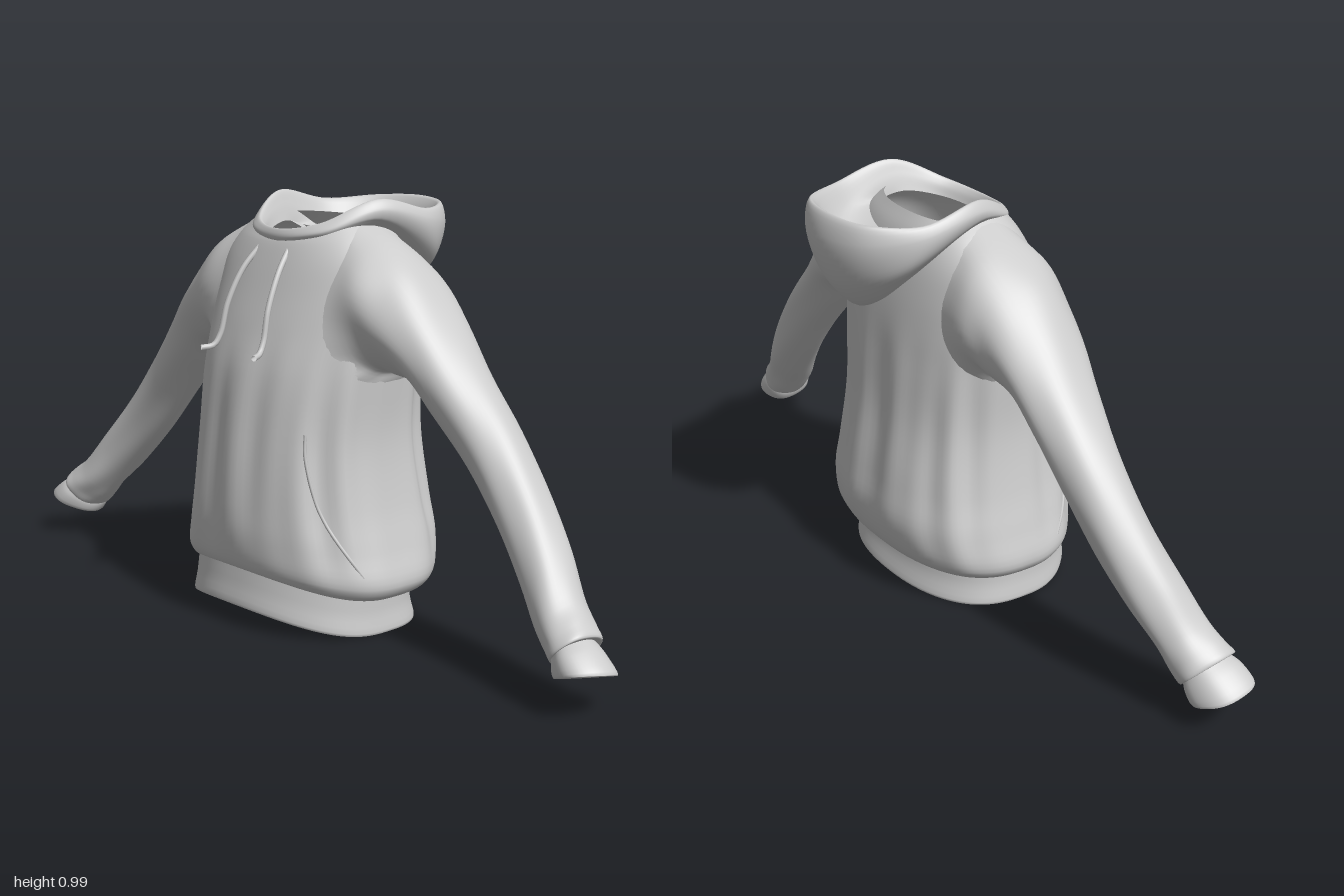
import * as THREE from 'three';

const V = (x, y, z) => new THREE.Vector3(x, y, z);
const material = new THREE.MeshStandardMaterial({ color: 0xcccccc, side: THREE.DoubleSide });

// Smooth skin over closed rings with equal point counts; each column is a spline
function loft(name, rings, steps) {
  const n = rings[0].length, rows = (rings.length - 1) * steps, pos = [], idx = [];
  const columns = rings[0].map((_, i) => new THREE.CatmullRomCurve3(rings.map(r => r[i])));
  for (let j = 0; j <= rows; j++)
    for (const c of columns) pos.push(...c.getPoint(j / rows).toArray());
  for (let j = 0; j < rows; j++)
    for (let i = 0; i < n; i++) {
      const a = j * n + i, b = j * n + (i + 1) % n;
      idx.push(a, b, b + n, a, b + n, a + n);
    }
  const g = new THREE.BufferGeometry();
  g.setAttribute('position', new THREE.Float32BufferAttribute(pos, 3));
  g.setIndex(idx);
  g.computeVertexNormals();
  return mesh(name, g);
}

function mesh(name, geometry) {
  const m = new THREE.Mesh(geometry, material);
  m.name = name;
  return m;
}

const cord = (name, pts, r) =>
  mesh(name, new THREE.TubeGeometry(new THREE.CatmullRomCurve3(pts), 32, r, 8));

// Torso rings: height, rise at the front, half width, front z, back z
const BAND = [
  [0.012, 0.045, 0.28, 0.285, -0.13],
  [0.003, 0.05, 0.29, 0.298, -0.142],
  [0.05, 0.05, 0.285, 0.29, -0.13],
  [0.095, 0.05, 0.284, 0.282, -0.124],
];
const BODY = [
  [0.096, 0.05, 0.282, 0.28, -0.123],
  [0.09, 0.05, 0.305, 0.284, -0.15],
  [0.12, 0.04, 0.328, 0.296, -0.18],
  [0.2, 0.02, 0.31, 0.305, -0.203],
  [0.3, 0, 0.285, 0.304, -0.194],
  [0.45, 0, 0.264, 0.291, -0.175],
  [0.6, 0, 0.27, 0.267, -0.167],
  [0.7, 0, 0.278, 0.235, -0.158],
  [0.78, 0, 0.28, 0.205, -0.146],
  [0.85, 0, 0.266, 0.178, -0.13],
  [0.905, -0.01, 0.222, 0.158, -0.11],
  [0.945, -0.035, 0.168, 0.148, -0.085],
];
const power = (v, p) => Math.sign(v) * Math.abs(v) ** p;

// Rounded in front, flatter across the back
function torsoPoint([y, rise, w, zf, zb], t, folds = 1) {
  const s = Math.sin(t), c = Math.cos(t);
  // Hanging cloth folds, strongest at mid height
  const f = folds * Math.max(0, Math.sin(Math.PI * (y - 0.1) / 0.62));
  const r = 1 + f * (0.02 * Math.sin(11 * t + 0.6 + y) + 0.014 * Math.sin(17 * t + 2 - 2 * y));
  return V(w * r * power(s, 0.9), y + rise * Math.max(0, c) ** 2,
    (zf + zb) / 2 + (zf - zb) / 2 * r * power(c, c > 0 ? 0.9 : 0.7));
}
const torsoRing = (row, folds) =>
  Array.from({ length: 112 }, (_, i) => torsoPoint(row, i / 112 * Math.PI * 2, folds));

function bodyRowAt(y) {
  const i = BODY.findIndex((r, k) => k > 2 && r[0] >= y);
  const a = BODY[i - 1], b = BODY[i], k = (y - a[0]) / (b[0] - a[0]);
  return a.map((v, j) => v + (b[j] - v) * k);
}

// Sleeve rings: top x, top y, bottom x, bottom y, front z, back z, slope toward the front
const SLEEVE = [
  [0.265, 0.897, 0.284, 0.613, 0.16, -0.121, 0],
  [0.345, 0.842, 0.318, 0.61, 0.144, -0.107, 0],
  [0.43, 0.752, 0.38, 0.596, 0.126, -0.09, 0],
  [0.52, 0.648, 0.445, 0.53, 0.108, -0.073, 0],
  [0.62, 0.54, 0.54, 0.43, 0.092, -0.06, 0],
  [0.72, 0.42, 0.64, 0.315, 0.097, -0.043, 0],
  [0.81, 0.31, 0.735, 0.212, 0.12, -0.018, 0],
  [0.875, 0.222, 0.8, 0.145, 0.145, 0.01, 0],
  [0.912, 0.19, 0.836, 0.106, 0.158, 0.02, 0.1],
  [0.935, 0.168, 0.86, 0.086, 0.165, 0.028, 0.15],
  [0.922, 0.157, 0.868, 0.096, 0.155, 0.038, 0.15],
];
const CUFF = [
  [0.918, 0.162, 0.862, 0.098, 0.154, 0.038, 0.15],
  [0.955, 0.142, 0.865, 0.08, 0.17, 0.034, 0.2],
  [0.997, 0.105, 0.876, 0.064, 0.178, 0.038, 0.22],
  [0.983, 0.103, 0.888, 0.071, 0.168, 0.048, 0.22],
];

// Even angles around a sleeve, from the front downward
const around = (side, fn) =>
  Array.from({ length: 48 }, (_, i) => fn(-side * i / 48 * Math.PI * 2));

const sleeveRing = ([tx, ty, bx, by, zf, zb, slope], side, row) => around(side, t => {
  const r = 1 + 0.018 * Math.sin(5 * t + row * 1.7);
  const s = side * Math.sin(t) * r / 2, c = Math.cos(t) * r / 2, dz = (zf - zb) * c;
  return V(side * ((tx + bx) / 2 + (tx - bx) * s),
    (ty + by) / 2 + (ty - by) * s + slope * dz, (zf + zb) / 2 + dz);
});

// Shoulder ring lying on the torso, so that the sleeve grows out of it
const armhole = side => around(side, t => torsoPoint(
  bodyRowAt(0.765 + 0.175 * side * Math.sin(t)), side * (Math.PI / 2 - 0.85 * Math.cos(t))));

// Hood rings, outer neck seam over the rim to the inner seam.
// Six points each, from front to back along one half.
const HOOD = [
  [[0, 0.895, 0.149], [0.12, 0.91, 0.115], [0.168, 0.93, 0], [0.125, 0.86, -0.112], [0.07, 0.835, -0.13], [0, 0.825, -0.135]],
  [[0, 0.9, 0.156], [0.125, 0.918, 0.122], [0.182, 0.945, 0], [0.13, 0.83, -0.15], [0.06, 0.76, -0.19], [0, 0.733, -0.2]],
  [[0, 0.907, 0.159], [0.125, 0.925, 0.125], [0.19, 0.955, 0], [0.172, 0.87, -0.178], [0.09, 0.82, -0.253], [0, 0.8, -0.277]],
  [[0, 0.917, 0.158], [0.12, 0.935, 0.122], [0.192, 0.974, 0], [0.193, 0.94, -0.155], [0.12, 0.92, -0.272], [0, 0.915, -0.31]],
  [[0, 0.927, 0.152], [0.108, 0.944, 0.116], [0.174, 0.997, 0], [0.178, 0.968, -0.15], [0.11, 0.975, -0.262], [0, 0.98, -0.29]],
  [[0, 0.915, 0.143], [0.1, 0.93, 0.106], [0.158, 0.968, 0], [0.15, 0.92, -0.13], [0.085, 0.885, -0.195], [0, 0.87, -0.21]],
  [[0, 0.89, 0.135], [0.095, 0.905, 0.1], [0.14, 0.925, 0.01], [0.145, 0.91, -0.055], [0.07, 0.9, -0.062], [0, 0.9, -0.064]],
];

function hoodRing(half) {
  const other = half.slice(1, -1).reverse().map(([x, y, z]) => [-x, y, z]);
  const curve = new THREE.CatmullRomCurve3([...half, ...other].map(p => V(...p)), true);
  return Array.from({ length: 80 }, (_, i) => {
    const p = curve.getPoint(i / 80);
    p.x += 0.008;
    return p;
  });
}

export function createModel() {
  const model = new THREE.Group();
  model.name = 'hoodedSweater';

  model.add(loft('hemBand', BAND.map(r => torsoRing(r, 0)), 4));
  model.add(loft('torso', BODY.map(r => torsoRing(r)), 5));
  model.add(loft('hood', HOOD.map(hoodRing), 6));

  for (const side of [1, -1]) {
    const prefix = side > 0 ? 'left' : 'right';
    const rings = SLEEVE.map((r, i) => sleeveRing(r, side, i));
    model.add(loft(prefix + 'Sleeve', [armhole(side), ...rings], 5));
    model.add(loft(prefix + 'Cuff', CUFF.map(r => sleeveRing(r, side, 0)), 4));

    // Drawstring falling from the collar and kicking forward at its end
    model.add(cord(prefix + 'Drawstring', [
      [0.05, 0.89, 0.148], [0.065, 0.83, 0.197], [0.075, 0.75, 0.236],
      [0.08, 0.68, 0.254], [0.085, 0.655, 0.27], [0.098, 0.65, 0.296],
    ].map(([x, y, z]) => V(side * x, y, z)), 0.007));

    // Curved edge of the front pocket opening, laid on the torso
    const edge = Array.from({ length: 9 }, (_, i) => {
      const k = i / 8;
      return torsoPoint(bodyRowAt(0.48 - 0.33 * k), side * (0.78 + 0.45 * k * k));
    });
    model.add(cord(prefix + 'PocketEdge', edge, 0.004));
  }
  return model;
}
